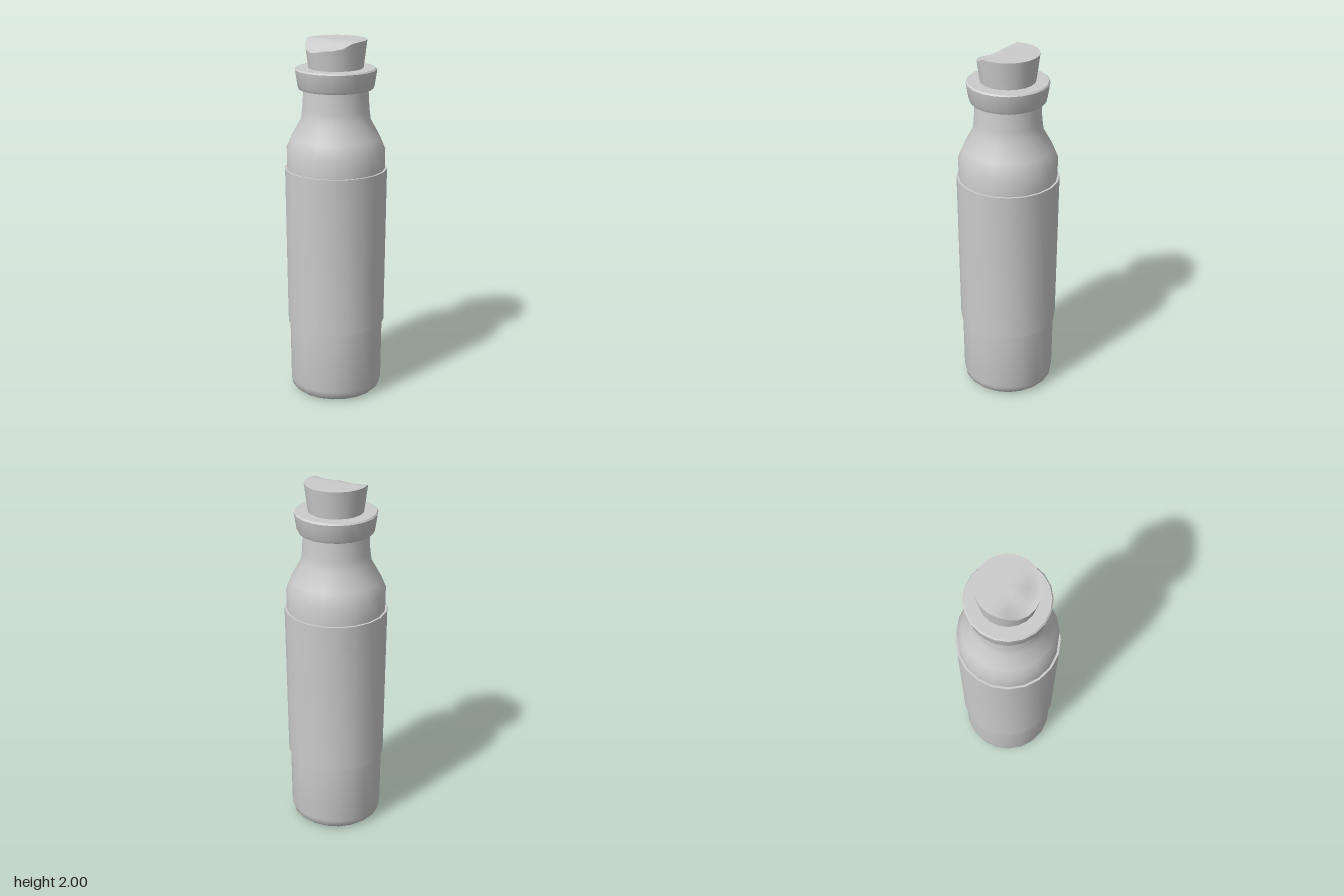
import * as THREE from 'three';
import { toCreasedNormals } from 'three/addons/utils/BufferGeometryUtils.js';

const SIDES = 20;

function lathe(points) {
  return new THREE.LatheGeometry(points.map(([r, y]) => new THREE.Vector2(r, y)), SIDES);
}

export function createModel() {
  const group = new THREE.Group();
  const material = new THREE.MeshStandardMaterial({ color: 0xcccccc });

  const add = (name, geometry, crease = 0.65) => {
    const mesh = new THREE.Mesh(toCreasedNormals(geometry, crease), material);
    mesh.name = name;
    group.add(mesh);
  };

  // Glass body with rounded base, sloping shoulder and neck
  add('bottleBody', lathe([
    [0, 0], [0.2, 0], [0.232, 0.008], [0.25, 0.025], [0.258, 0.06],
    [0.262, 0.41], [0.269, 1.3], [0.27, 1.41], [0.243, 1.475],
    [0.19, 1.57], [0.182, 1.63], [0.175, 1.76],
  ]));

  // Wrapped label, slightly proud of the body
  add('labelSleeve', lathe([
    [0.255, 0.412], [0.272, 0.412], [0.281, 1.3], [0.265, 1.3],
  ]));

  // Flared lip around the mouth
  add('lipCollar', lathe([
    [0.165, 1.738], [0.2, 1.738], [0.208, 1.752], [0.222, 1.842],
    [0.215, 1.85], [0, 1.85],
  ]));

  // Tapered cork with concentric rings on its top face
  const top = 2, topRadius = 0.168;
  const cork = lathe([
    [0.147, 1.84], [0.158, 1.92], [topRadius, top],
    [0.15, top], [0.125, top], [0.1, top], [0.07, top], [0.04, top], [0, top],
  ]);

  // Broken edge: chip depth at each side, from the back round to the front
  const chip = [0, 0.025, 0.05, 0.06, 0.055, 0.045, 0.04, 0.03, 0.005];
  const step = (Math.PI * 2) / SIDES;
  const p = cork.attributes.position;
  for (let i = 0; i < p.count; i++) {
    if (p.getY(i) < top - 0.001) continue;
    const x = p.getX(i), z = p.getZ(i);
    const r = Math.hypot(x, z);
    const k = Math.round(Math.atan2(z, -x) / step) + 3;
    const depth = (chip[k] ?? 0) * THREE.MathUtils.smoothstep(r, 0.03, 0.16);
    const taper = r > 0.16 ? 1 - depth * 0.7 : 1;
    p.setXYZ(i, x * taper, top - depth, z * taper);
  }
  add('cork', cork, 0.8);

  return group;
}
